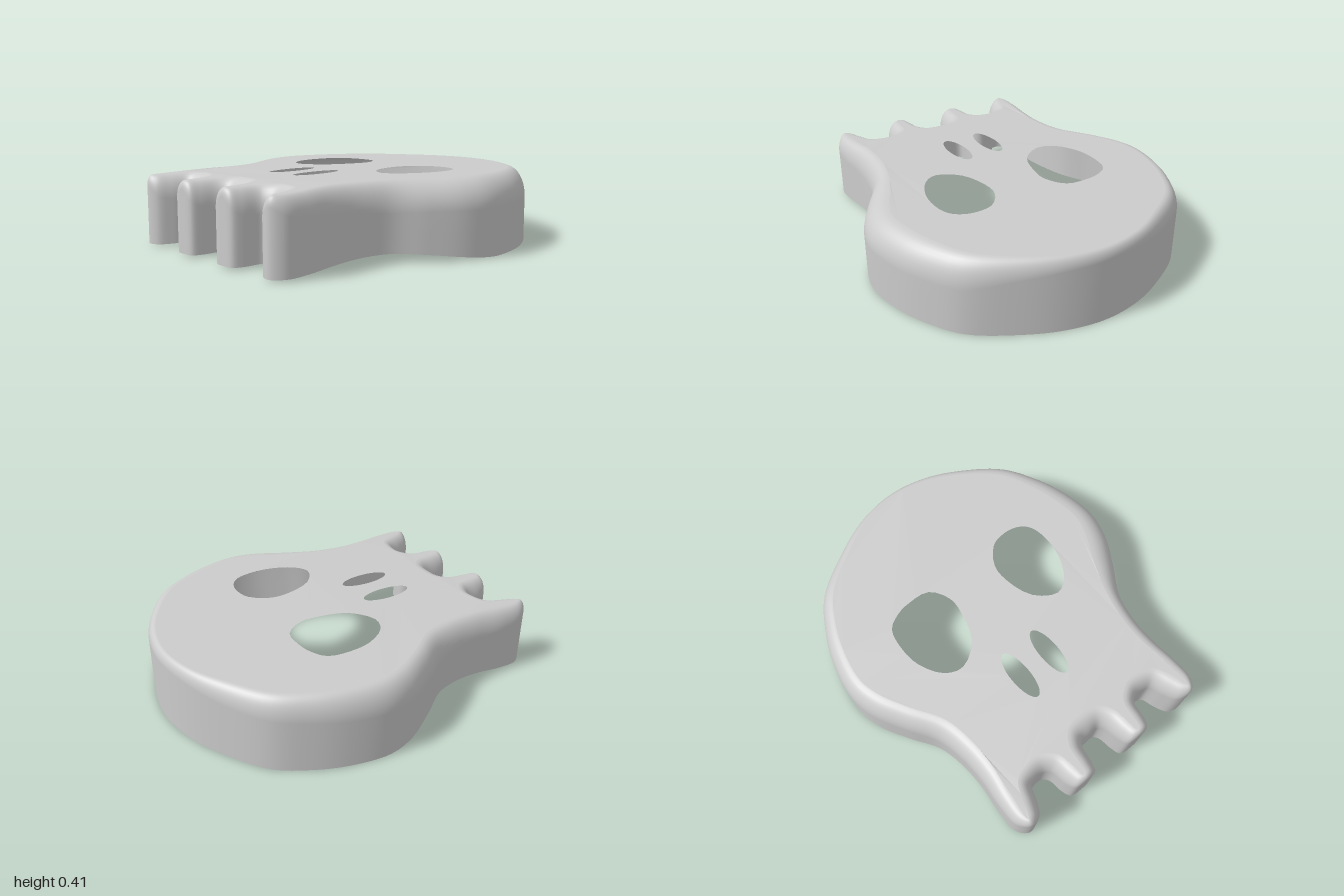
import * as THREE from 'three';

// Half outline, back to front: wall x, z, then the matching point where the flat top begins
const HALF = [
  [0, -1, 0, -0.965], [0.23, -0.965, 0.22, -0.925], [0.45, -0.872, 0.42, -0.82], [0.66, -0.735, 0.61, -0.685],
  [0.77, -0.575, 0.705, -0.535], [0.845, -0.4, 0.765, -0.375], [0.885, -0.18, 0.795, -0.18], [0.855, -0.02, 0.765, -0.05],
  [0.76, 0.16, 0.68, 0.11], [0.66, 0.32, 0.57, 0.29], [0.622, 0.48, 0.535, 0.47], [0.615, 0.64, 0.535, 0.64],
  [0.628, 0.8, 0.56, 0.8], [0.62, 0.93, 0.57, 0.91], [0.565, 0.988, 0.56, 0.955], [0.495, 0.97, 0.545, 0.93],
  [0.455, 0.9, 0.525, 0.87], [0.425, 0.825, 0.48, 0.77], [0.39, 0.81, 0.4, 0.735], [0.33, 0.81, 0.31, 0.735],
  [0.297, 0.84, 0.228, 0.8], [0.28, 0.93, 0.212, 0.9], [0.255, 0.98, 0.203, 0.955], [0.19, 0.99, 0.19, 0.965],
  [0.12, 0.98, 0.177, 0.955], [0.098, 0.93, 0.168, 0.9], [0.08, 0.84, 0.155, 0.8], [0.055, 0.81, 0.1, 0.73],
  [0, 0.81, 0, 0.71],
];
const EYE_R = [[-0.32, -0.365], [-0.2, -0.35], [-0.13, -0.24], [-0.135, -0.13], [-0.19, 0.03], [-0.32, 0.115],
  [-0.42, 0.08], [-0.5, -0.05], [-0.515, -0.18], [-0.49, -0.3], [-0.41, -0.35]];
const EYE_L = [[0.36, -0.365], [0.27, -0.345], [0.19, -0.24], [0.185, -0.13], [0.24, 0.03], [0.36, 0.11],
  [0.44, 0.07], [0.51, -0.06], [0.525, -0.2], [0.5, -0.3], [0.44, -0.35]];

const smooth = THREE.MathUtils.smoothstep;
const topY = (z) => 0.412 - 0.008 * smooth(z, 0, 0.6) - 0.014 * smooth(z, 0.6, 0.95);
// The rim lifts under the cheeks
const rimY = (z) => 0.05 * smooth(z, -0.25, 0.36) - 0.04 * smooth(z, 0.36, 1);

// Smooth closed loop through [x, z] points
function loop(points, n) {
  const curve = new THREE.CatmullRomCurve3(points.map(([x, z]) => new THREE.Vector3(x, 0, z)), true, 'centripetal');
  return Array.from({ length: n }, (_, i) => curve.getPoint(i / n));
}
const toPlan = (pts) => pts.map((p) => new THREE.Vector2(p.x, -p.z));

export function createModel() {
  const group = new THREE.Group();
  const material = new THREE.MeshStandardMaterial({ color: 0xcccccc, side: THREE.DoubleSide });

  // Mirror the half; the left cheek has a softer edge
  const left = HALF.map(([x, z, ix, iz]) => {
    const k = x > 0 && z < 0.3 ? 1 + 0.5 * smooth(x, 0.4, 0.85) : 1;
    return [x, z, x + (ix - x) * k, z + (iz - z) * k];
  });
  const right = HALF.slice(1, -1).reverse().map(([x, z, ix, iz]) => [-x, z, -ix, iz]);
  const ring = [...left, ...right];
  const n = ring.length * 6;
  const outer = loop(ring.map((p) => [p[0], p[1]]), n);
  const inner = loop(ring.map((p) => [p[2], p[3]]), n);

  // Side wall with a rounded upper edge
  const pos = [], index = [], rows = 13;
  for (let j = 0; j < rows; j++) {
    for (let i = 0; i < n; i++) {
      const o = outer[i], p = inner[i];
      const round = Math.min(0.16, 1.7 * o.distanceTo(p));
      const base = rimY(o.z), shoulder = topY(p.z) - round;
      const a = Math.max(0, (j - 2) / (rows - 3)) * Math.PI / 2;
      const q = o.clone().lerp(p, 1 - Math.cos(a));
      const y = j < 2 ? base + (shoulder - base) * j / 2 : shoulder + round * Math.sin(a);
      pos.push(q.x, y, q.z);
      if (j < rows - 1) {
        const b = j * n + i, c = j * n + (i + 1) % n;
        index.push(b, b + n, c, c, b + n, c + n);
      }
    }
  }
  const wallGeo = new THREE.BufferGeometry();
  wallGeo.setAttribute('position', new THREE.Float32BufferAttribute(pos, 3));
  wallGeo.setIndex(index);
  wallGeo.computeVertexNormals();
  const wall = new THREE.Mesh(wallGeo, material);
  wall.name = 'sideWall';

  // Flat face with eye and nose openings
  const face = new THREE.Shape(toPlan(inner));
  for (const eye of [EYE_R, EYE_L]) face.holes.push(new THREE.Path(toPlan(loop(eye, 33))));
  for (const [x, z] of [[-0.11, 0.345], [0.097, 0.34]]) {
    face.holes.push(new THREE.Path().absellipse(x, -z, 0.053, 0.15, 0, Math.PI * 2, true));
  }
  const faceGeo = new THREE.ShapeGeometry(face, 16).rotateX(-Math.PI / 2);
  const fp = faceGeo.attributes.position;
  for (let i = 0; i < fp.count; i++) fp.setY(i, topY(fp.getZ(i)));
  faceGeo.computeVertexNormals();
  const top = new THREE.Mesh(faceGeo, material);
  top.name = 'facePlate';

  group.add(wall, top);
  return group;
}
